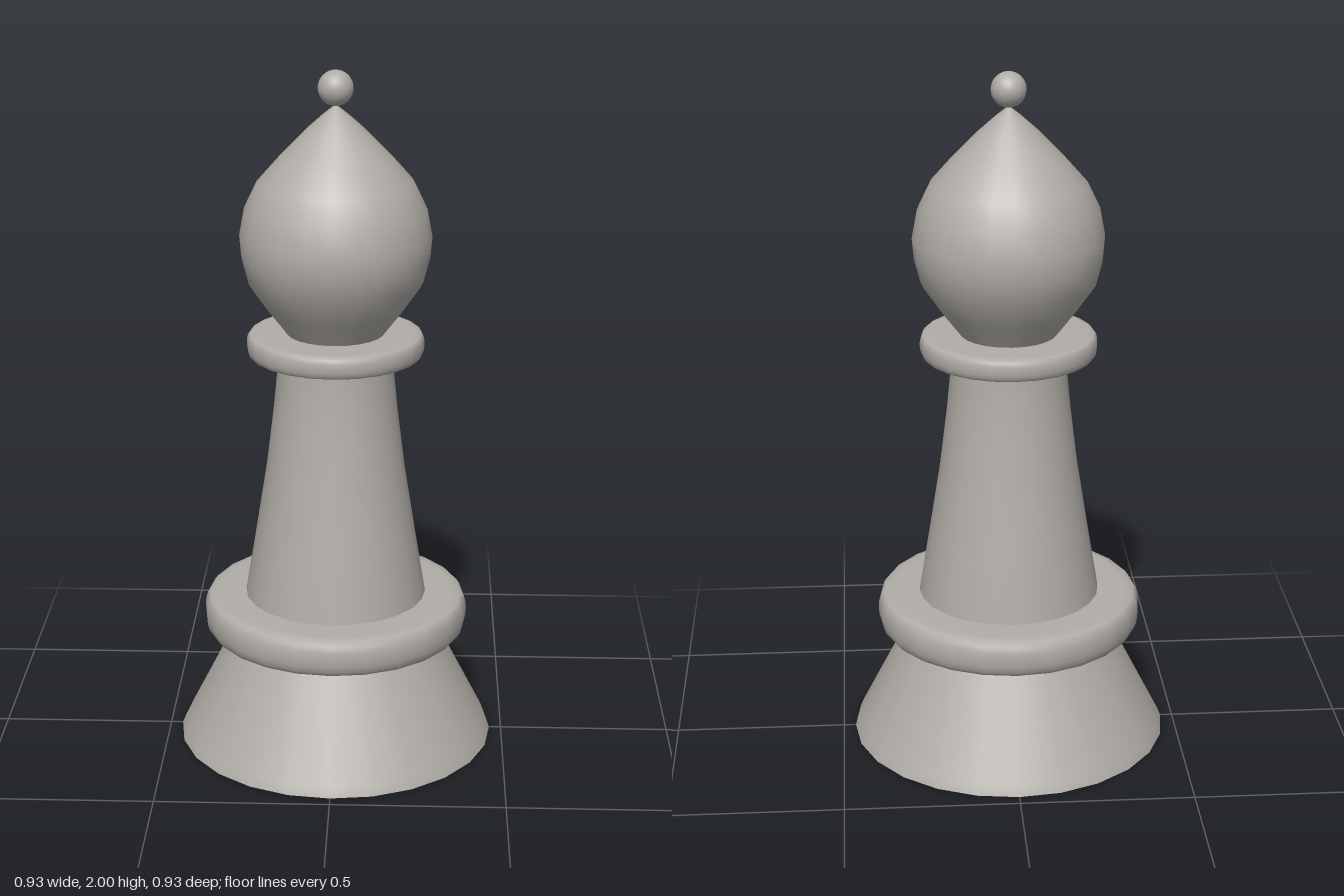
import * as THREE from 'three';

const SIDES = 24;

export function createModel() {
  const model = new THREE.Group();
  model.name = 'chessPiece';
  const stone = new THREE.MeshStandardMaterial({ color: 0xb0aca7, side: THREE.DoubleSide });
  stone.name = 'warm grey';

  const add = (name, geometry, y = 0) => {
    const mesh = new THREE.Mesh(geometry, stone);
    mesh.name = name;
    mesh.position.y = y;
    model.add(mesh);
  };

  // Turned part from [radius, height] pairs, running bottom to top
  const turned = (name, profile) =>
    add(name, new THREE.LatheGeometry(profile.map(([r, y]) => new THREE.Vector2(r, y)), SIDES));

  // Flat ring with a rounded rim
  const collar = (name, inner, outer, y0, y1) => {
    const h = (y1 - y0) / 2, mid = (y0 + y1) / 2, depth = h * 0.75;
    const profile = [[inner, y0]];
    for (let i = 0; i <= 8; i++) {
      const a = -Math.PI / 2 + (i / 8) * Math.PI;
      profile.push([
        outer - depth + depth * Math.sqrt(Math.cos(a) + 1e-9),
        mid + h * Math.sin(a),
      ]);
    }
    profile.push([inner, y1]);
    turned(name, profile);
  };

  // Hollow foot: flat underside ring and sloping skirt
  turned('footUnderside', [[0.28, 0], [0.465, 0]]);
  turned('footSkirt', [[0.465, 0], [0.455, 0.025], [0.295, 0.34], [0.27, 0.39]]);
  collar('lowerCollar', 0.255, 0.388, 0.335, 0.448);

  // Tapering shaft, open at the bottom
  turned('shaft', [[0.28, 0], [0.274, 0.36], [0.265, 0.45], [0.232, 0.65],
    [0.2, 0.85], [0.179, 1.02], [0.168, 1.13], [0.166, 1.2]]);
  collar('upperCollar', 0.13, 0.255, 1.18, 1.247);

  // Bulb-shaped head ending in a point
  turned('head', [[0.125, 1.22], [0.142, 1.25], [0.195, 1.32], [0.25, 1.4], [0.268, 1.47],
    [0.273, 1.53], [0.258, 1.61], [0.222, 1.685], [0.16, 1.755], [0.085, 1.832],
    [0.035, 1.877], [0, 1.905]]);

  add('finial', new THREE.SphereGeometry(0.05, 24, 16), 1.95);
  return model;
}
